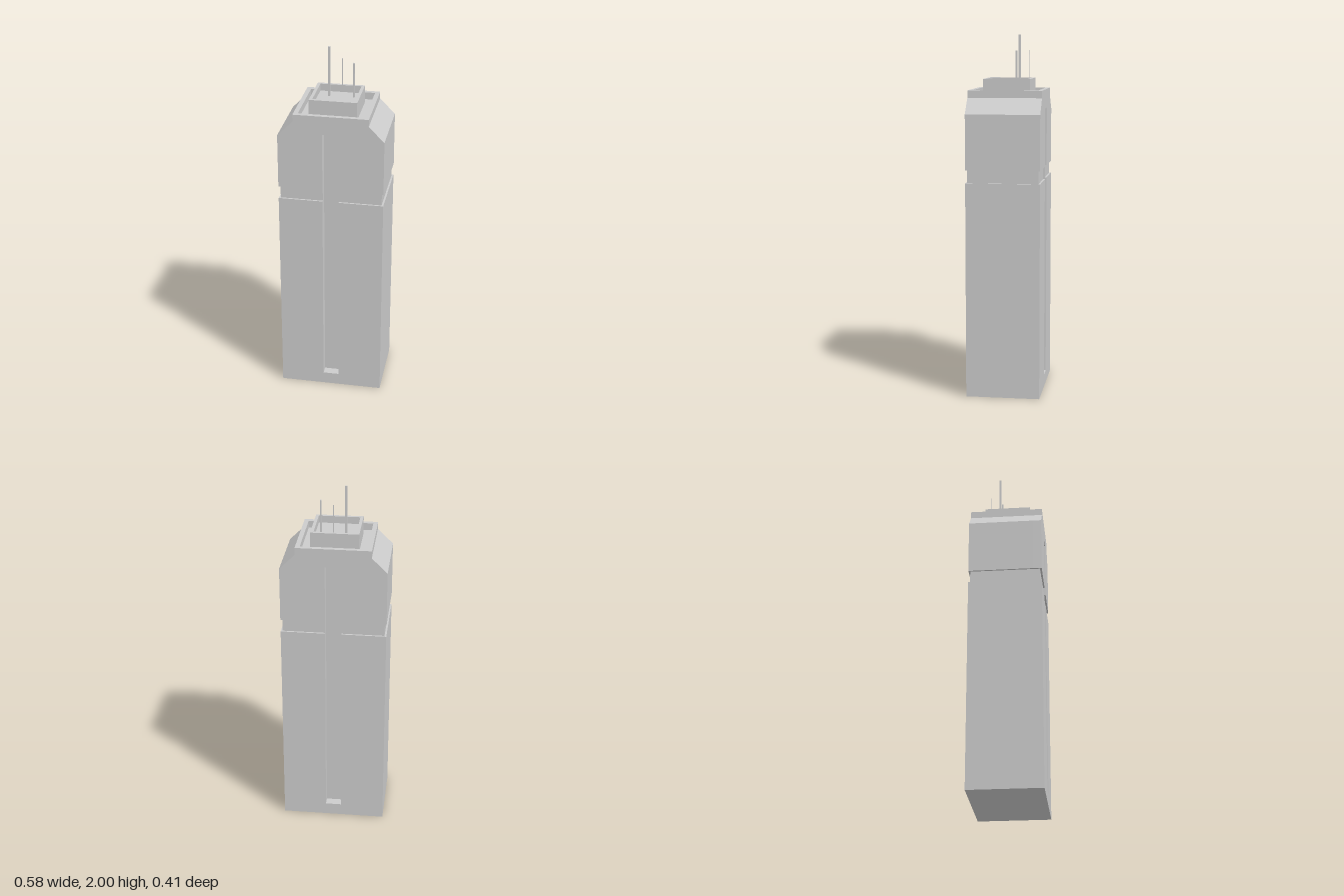
import * as THREE from 'three';

const material = new THREE.MeshStandardMaterial({ color: 0xcccccc, flatShading: true });
const HALF_SLOT = 0.045, SLOT_FLOOR = 0.155, SLOT_BOTTOM = 0.07, SLOT_TOP = 1.595;

function add(group, name, geometry) {
  const mesh = new THREE.Mesh(geometry, material);
  mesh.name = name;
  group.add(mesh);
  return mesh;
}

// Extrudes an x-y outline between two depths
function slab(points, z0, z1) {
  const shape = new THREE.Shape(points.map(([x, y]) => new THREE.Vector2(x, y)));
  return new THREE.ExtrudeGeometry(shape, { depth: z1 - z0, bevelEnabled: false }).translate(0, 0, z0);
}

// One storey block: solid core with slotted front and back skins
function storey(name, core, skin, halfDepth) {
  const group = new THREE.Group();
  group.name = name;
  add(group, 'core', slab(core, -SLOT_FLOOR, SLOT_FLOOR));
  skin.forEach((outline) => {
    add(group, 'frontSkin', slab(outline, SLOT_FLOOR, halfDepth));
    add(group, 'backSkin', slab(outline, -halfDepth, -SLOT_FLOOR));
  });
  return group;
}

const rect = (x0, x1, y0, y1) => [[x0, y0], [x1, y0], [x1, y1], [x0, y1]];

// Rectangular wall around an open roof
function parapet(outer, inner, y0, y1) {
  const square = (h) => rect(-h, h, -h, h).map(([x, y]) => new THREE.Vector2(x, y));
  const shape = new THREE.Shape(square(outer));
  shape.holes.push(new THREE.Path(square(inner).reverse()));
  return new THREE.ExtrudeGeometry(shape, { depth: y1 - y0, bevelEnabled: false })
    .rotateX(-Math.PI / 2).translate(0, y0, 0);
}

export function createModel() {
  const tower = new THREE.Group();
  tower.name = 'tower';
  const s = HALF_SLOT;

  // Main shaft, its slot open at the top
  tower.add(storey('shaft', rect(-0.29, 0.29, 0, 1.2), [[
    [-0.29, 0], [0.29, 0], [0.29, 1.2], [s, 1.2], [s, SLOT_BOTTOM],
    [-s, SLOT_BOTTOM], [-s, 1.2], [-0.29, 1.2],
  ]], 0.205));

  // Recessed band
  tower.add(storey('recessedBand', rect(-0.28, 0.28, 1.2, 1.27),
    [rect(-0.28, -s, 1.2, 1.27), rect(s, 0.28, 1.2, 1.27)], 0.195));

  // Crown with sloped shoulders, its slot open at the bottom
  const shoulders = [[0.29, 1.27], [0.29, 1.575], [0.205, 1.66], [-0.205, 1.66], [-0.29, 1.575], [-0.29, 1.27]];
  tower.add(storey('crown', shoulders,
    [[...shoulders, [-s, 1.27], [-s, SLOT_TOP], [s, SLOT_TOP], [s, 1.27]]], 0.205));

  // Roof parapet, and the walled penthouse inside it
  add(tower, 'roofParapet', parapet(0.205, 0.18, 1.66, 1.7));
  add(tower, 'penthouse', new THREE.BoxGeometry(0.262, 0.06, 0.262)).position.y = 1.69;
  add(tower, 'penthouseParapet', parapet(0.131, 0.114, 1.72, 1.76));

  // Antennas: x, z, width, depth, top
  [
    ['tallAntenna', -0.053, -0.05, 0.012, 0.012, 2.0],
    ['shortAntenna', 0.083, -0.05, 0.009, 0.009, 1.915],
    ['wallAntenna', 0.008, -0.113, 0.006, 0.002, 1.915],
  ].forEach(([name, x, z, w, d, top]) => {
    add(tower, name, new THREE.BoxGeometry(w, top - 1.72, d)).position.set(x, (top + 1.72) / 2, z);
  });

  return tower;
}
